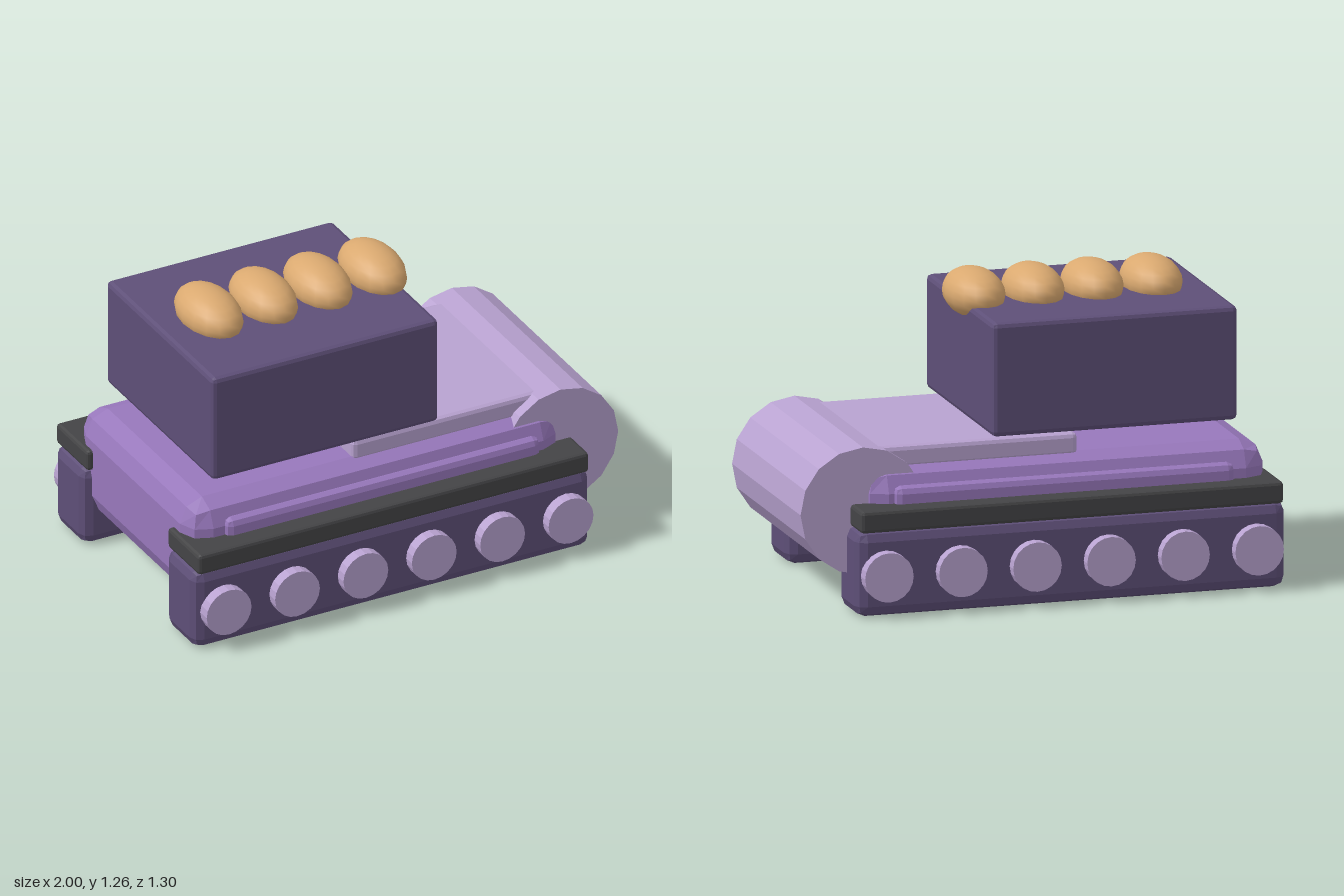
import * as THREE from 'three';
import { RoundedBoxGeometry } from 'three/addons/geometries/RoundedBoxGeometry.js';

const material = (name, color) => {
  const m = new THREE.MeshStandardMaterial({ color });
  m.name = name;
  return m;
};

// Give a geometry one normal per face
const faceted = (geometry) => {
  const g = geometry.index ? geometry.toNonIndexed() : geometry;
  g.computeVertexNormals();
  return g;
};

export function createModel() {
  const darkPurple = material('dark purple', 0x5e4f78);
  const purple = material('purple', 0x9878bc);
  const lilac = material('lilac', 0xb8a2d0);
  const charcoal = material('charcoal', 0x444446);
  const tan = material('tan', 0xdaa970);

  const model = new THREE.Group();
  model.name = 'trackedVehicle';

  const add = (name, geometry, mat, x, y, z) => {
    const mesh = new THREE.Mesh(geometry, mat);
    mesh.name = name;
    mesh.position.set(x, y, z);
    model.add(mesh);
    return mesh;
  };

  // Box with bevelled edges, given by its min and max on each axis
  const bevelBox = (name, mat, [x0, x1], [y0, y1], [z0, z1], bevel) =>
    add(name, faceted(new RoundedBoxGeometry(x1 - x0, y1 - y0, z1 - z0, 1, bevel)), mat,
      (x0 + x1) / 2, (y0 + y1) / 2, (z0 + z1) / 2);

  // Body
  bevelBox('hull', purple, [-0.96, 0.74], [0.13, 0.58], [-0.5, 0.5], 0.1);
  bevelBox('turretBox', darkPurple, [-0.84, 0.19], [0.67, 1.14], [-0.455, 0.455], 0.02);
  bevelBox('deckPlate', lilac, [-0.18, 0.74], [0.56, 0.655], [-0.415, 0.415], 0.02);

  // Large roller across the nose
  const roller = faceted(new THREE.CylinderGeometry(0.262, 0.262, 0.926, 16));
  roller.rotateX(Math.PI / 2);
  add('noseRoller', roller, lilac, 0.738, 0.41, 0);

  // Tracks, fenders, side panels and wheels, mirrored
  const wheel = faceted(new THREE.CylinderGeometry(0.102, 0.102, 0.15, 20));
  wheel.rotateX(Math.PI / 2);
  for (const [side, s] of [['front', 1], ['back', -1]]) {
    const span = (a, b) => (s > 0 ? [a, b] : [-b, -a]);
    bevelBox(side + 'Track', darkPurple, [-1, 0.805], [0, 0.355], span(0.345, 0.602), 0.045);
    bevelBox(side + 'Fender', charcoal, [-0.985, 0.79], [0.35, 0.44], span(0.34, 0.61), 0.014);
    bevelBox(side + 'SidePanel', purple, [-0.81, 0.62], [0.25, 0.51], span(0.4, 0.523), 0.03);
    for (let i = 0; i < 6; i++) {
      add(side + 'Wheel' + (i + 1), wheel, lilac, -0.87 + i * 0.311, 0.173, s * 0.576);
    }
  }

  // Row of egg-shaped domes on the roof
  const dome = new THREE.SphereGeometry(1, 16, 12);
  dome.scale(0.12, 0.1, 0.195);
  for (let i = 0; i < 4; i++) {
    add('roofDome' + (i + 1), dome, tan, -0.615 + i * 0.248, 1.165, 0);
  }

  return model;
}
